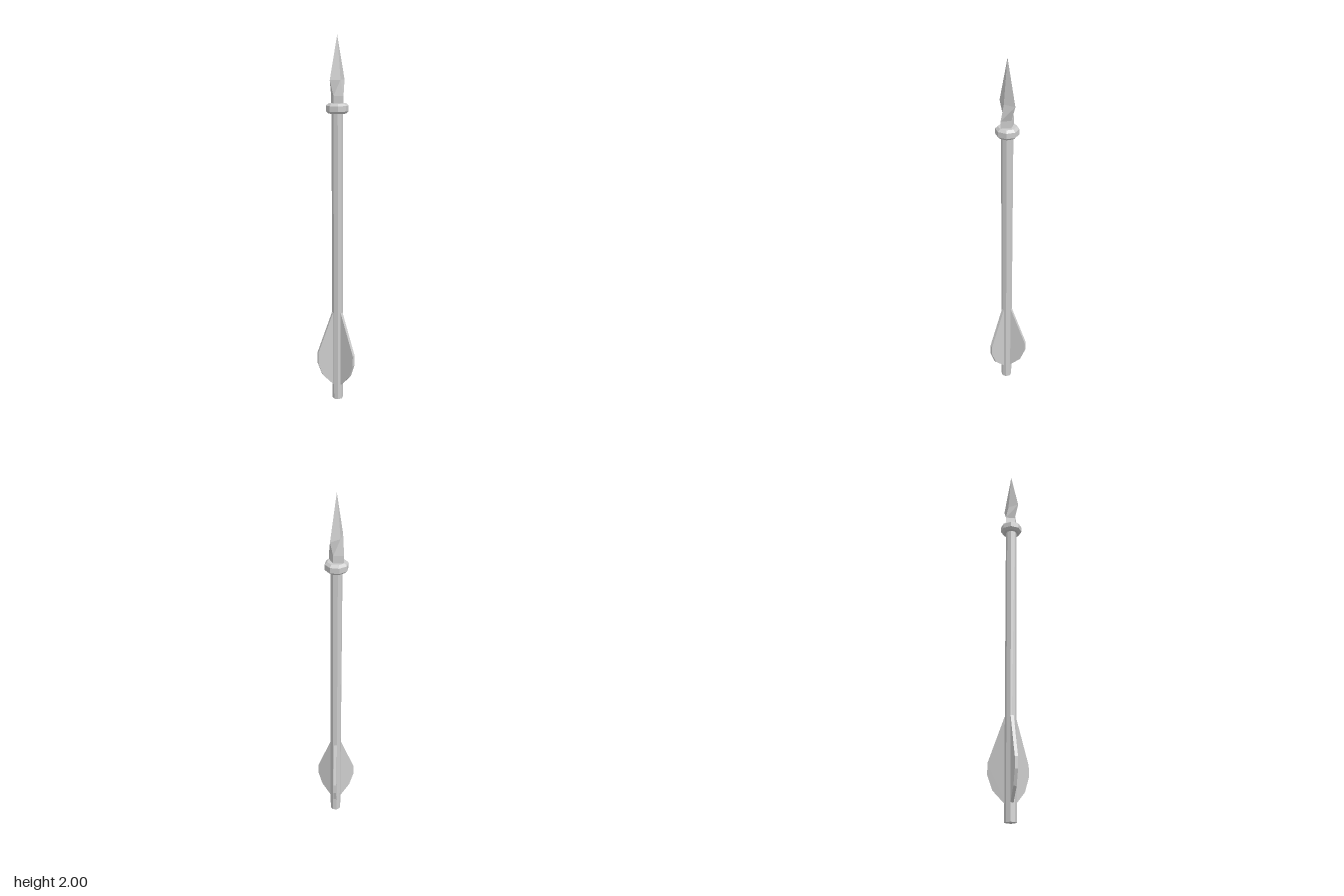
import * as THREE from 'three';

const material = new THREE.MeshStandardMaterial({ color: 0xcccccc, flatShading: true });

function addPart(parent, name, geometry) {
  const mesh = new THREE.Mesh(geometry, material);
  mesh.name = name;
  parent.add(mesh);
  return mesh;
}

// Lofts diamond cross-sections [y, halfWidthX, halfDepthZ] from bottom to top
function diamondLoft(sections) {
  const positions = [];
  const index = [];
  for (const [y, w, d] of sections) positions.push(w, y, 0, 0, y, d, -w, y, 0, 0, y, -d);
  for (let s = 0; s < sections.length - 1; s++) {
    for (let i = 0; i < 4; i++) {
      const a = s * 4 + i, b = s * 4 + (i + 1) % 4;
      index.push(a, a + 4, b, b, a + 4, b + 4);
    }
  }
  index.push(0, 1, 2, 0, 2, 3); // bottom cap
  const geometry = new THREE.BufferGeometry();
  geometry.setAttribute('position', new THREE.Float32BufferAttribute(positions, 3));
  geometry.setIndex(index);
  const flat = geometry.toNonIndexed();
  flat.computeVertexNormals();
  return flat;
}

export function createModel() {
  const model = new THREE.Group();
  model.name = 'arrow';
  const arrow = new THREE.Group();
  arrow.name = 'arrowBody';
  arrow.position.z = -0.027;
  model.add(arrow);

  // Octagonal shaft
  const shaftHeight = 1.62;
  addPart(arrow, 'shaft', new THREE.CylinderGeometry(0.03, 0.03, shaftHeight, 8))
    .position.y = shaftHeight / 2;

  // Bevelled collar under the head
  const collar = [[0, 1.61], [0.046, 1.61], [0.059, 1.622], [0.059, 1.65], [0.046, 1.662], [0, 1.662]];
  addPart(arrow, 'collar', new THREE.LatheGeometry(collar.map(([r, y]) => new THREE.Vector2(r, y)), 8));

  // Diamond-section head: deep neck, wide blade, point
  addPart(arrow, 'arrowhead', diamondLoft([
    [1.65, 0.03, 0.042], [1.7, 0.03, 0.042], [1.78, 0.058, 0.022], [2, 0.0005, 0.0005],
  ]));

  // Three fletchings, outlined as [radius, height]
  const thickness = 0.016;
  const outline = [[0.02, 0.09], [0.03, 0.09], [0.09, 0.155], [0.117, 0.23], [0.117, 0.29], [0.03, 0.52], [0.02, 0.52]];
  const finShape = new THREE.Shape(outline.map(([r, y]) => new THREE.Vector2(r, y)));
  const finGeometry = new THREE.ExtrudeGeometry(finShape, { depth: thickness, bevelEnabled: false });
  finGeometry.translate(0, 0, -thickness / 2);
  for (let i = 0; i < 3; i++) {
    addPart(arrow, `fletching${i + 1}`, finGeometry).rotation.y = -Math.PI / 2 + i * Math.PI * 2 / 3;
  }

  return model;
}
